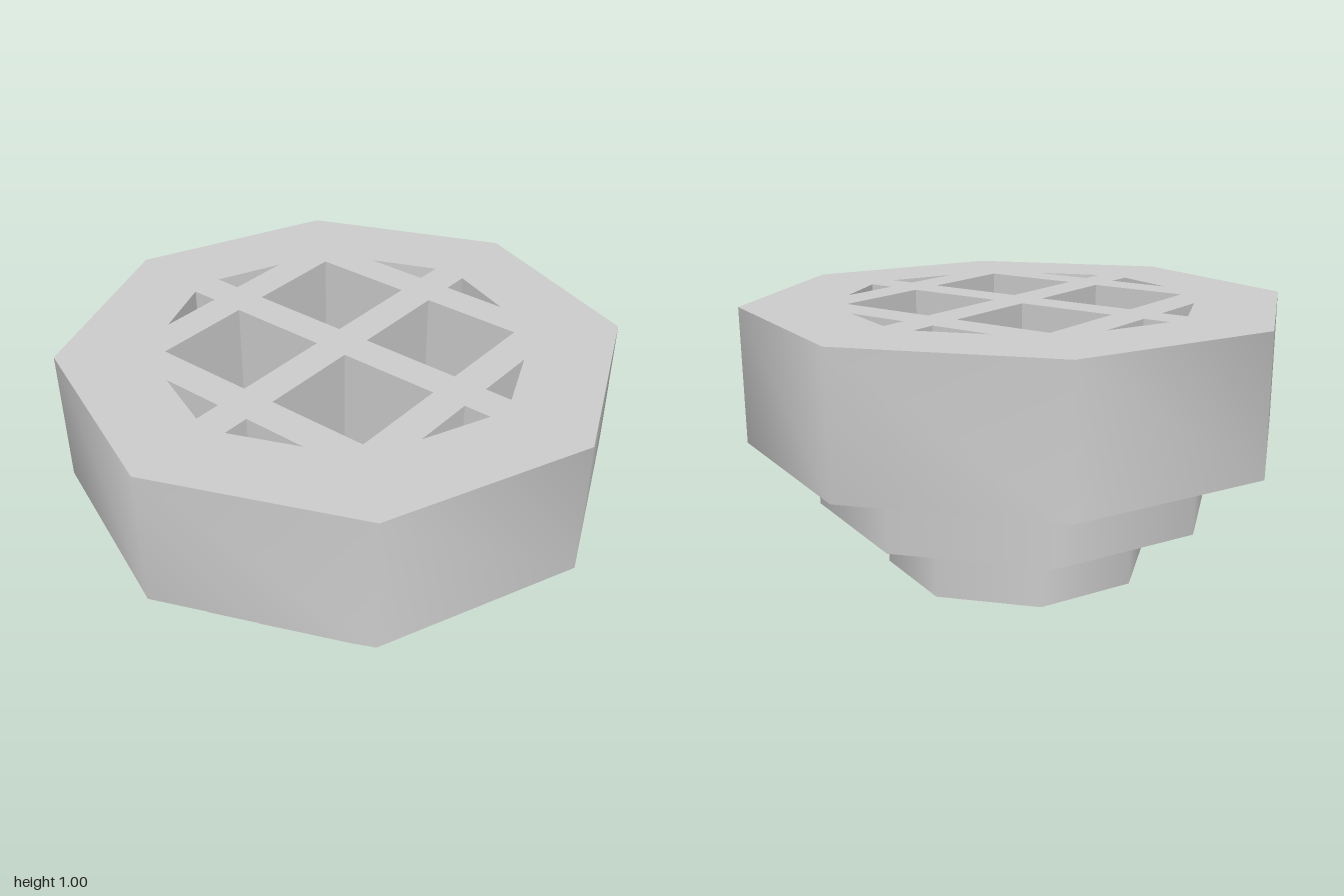
import * as THREE from 'three';
import { mergeGeometries, toCreasedNormals } from 'three/addons/utils/BufferGeometryUtils.js';

const SIDES = 8;
const WALL = 0.0625;

// Eight-sided turned body: each profile step is its own band, so rims stay sharp
function turned(profile) {
  const bands = [];
  for (let i = 0; i < profile.length - 1; i++) {
    const pair = [profile[i], profile[i + 1]].map(([r, y]) => new THREE.Vector2(r, y));
    bands.push(new THREE.LatheGeometry(pair, SIDES));
  }
  return mergeGeometries(bands);
}

// Octagonal outline with corners on the axes
function octagon(radius) {
  return Array.from({ length: SIDES }, (_, i) => {
    const a = (i / SIDES) * Math.PI * 2;
    return new THREE.Vector2(Math.cos(a) * radius, Math.sin(a) * radius);
  });
}

export function createModel() {
  const group = new THREE.Group();
  const material = new THREE.MeshStandardMaterial({ color: 0xcccccc });
  const add = (name, geometry) => {
    const mesh = new THREE.Mesh(geometry, material);
    mesh.name = name;
    group.add(mesh);
  };

  // Stepped hollow bowl: outside going up, then inside going down to the floor
  add('steppedBowl', turned([
    [0, 0], [0.5, 0], [0.5, 0.25], [0.75, 0.25], [0.75, 0.5],
    [0.75 - WALL, 0.5], [0.75 - WALL, 0.25 + WALL],
    [0.5 - WALL, 0.25 + WALL], [0.5 - WALL, WALL], [0, WALL],
  ]));

  // Wide top block, pierced by the openings between the grate bars
  const block = new THREE.Shape(octagon(1));
  const openR = 0.75 - WALL;              // octagonal opening crossed by the bars
  const slope = Math.tan(Math.PI / 8);
  const near = WALL, far = 0.5 - WALL, outer = 0.5 + WALL;
  const square = [[near, near], [far, near], [far, far], [near, far]];
  const wedge = [[near, outer], [(openR - outer) / slope, outer], [near, openR - near * slope]];
  const sideWedge = wedge.map(([x, y]) => [y, x]);
  for (const sx of [-1, 1]) {
    for (const sy of [-1, 1]) {
      for (const hole of [square, wedge, sideWedge]) {
        block.holes.push(new THREE.Path(hole.map(([x, y]) => new THREE.Vector2(x * sx, y * sy))));
      }
    }
  }
  const top = new THREE.ExtrudeGeometry(block, { depth: 0.5, bevelEnabled: false });
  top.rotateX(-Math.PI / 2).translate(0, 0.5, 0);
  // Smooth round the octagon, sharp at rims and openings
  add('grateTop', toCreasedNormals(top, 0.9));

  return group;
}
